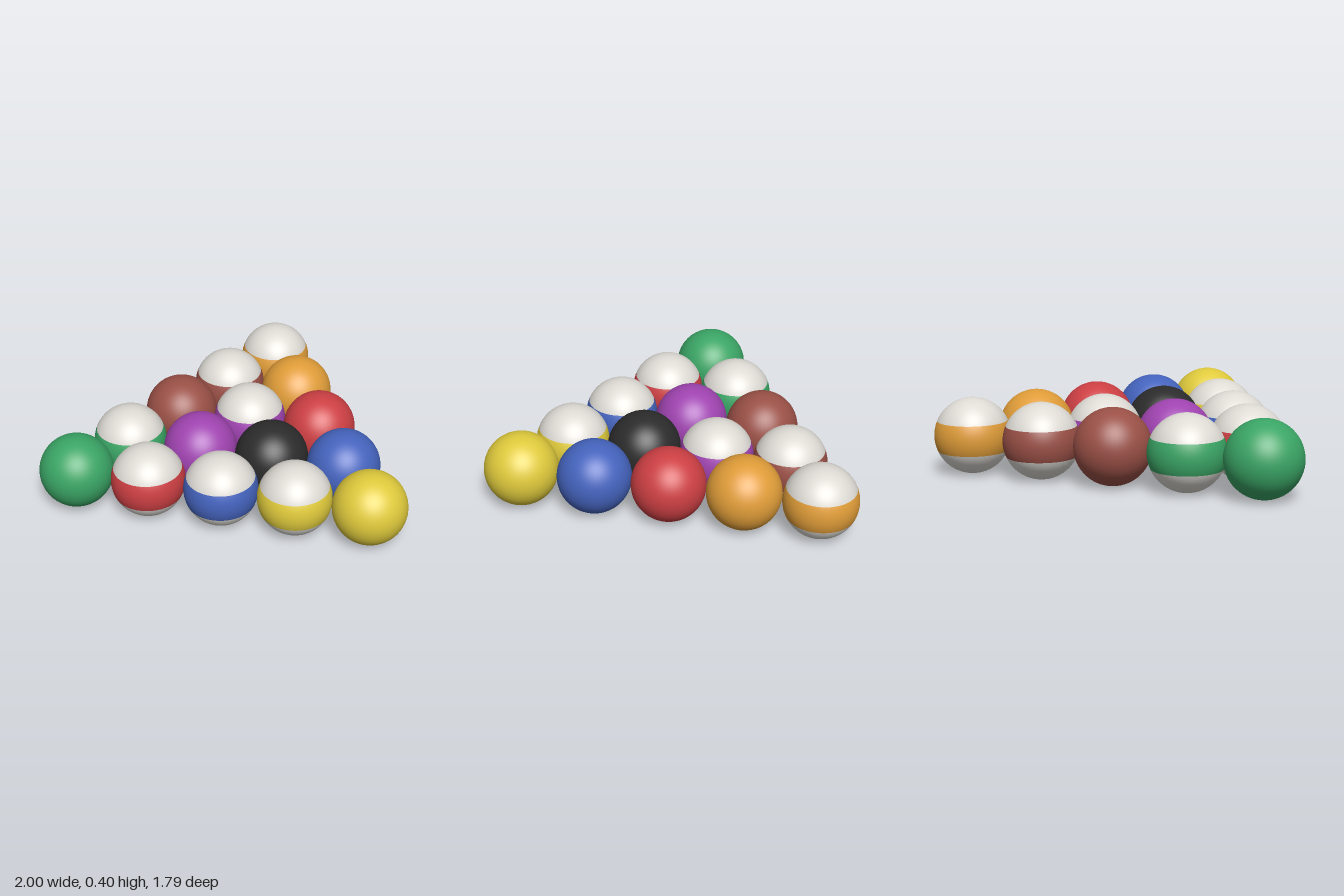
import * as THREE from 'three';

const R = 0.2;
const ROW_STEP = R * Math.sqrt(3);
const CAP_ANGLE = Math.acos(0.395); // polar angle where the stripe begins

const material = (name, color) => new THREE.MeshStandardMaterial({ name, color });
const colours = {
  yellow: material('yellow', 0xdfca3c),
  blue: material('blue', 0x4463bd),
  red: material('red', 0xcc3f43),
  purple: material('purple', 0x9f43b0),
  orange: material('orange', 0xdf9c38),
  green: material('green', 0x3aa565),
  maroon: material('maroon', 0x9a5046),
  black: material('black', 0x2b2b2b),
  white: material('white', 0xdedbd5),
};

// Rack rows from the apex at the front to the back, listed from -x to +x
const rows = [
  ['yellow solid'],
  ['yellow striped', 'blue solid'],
  ['blue striped', 'black solid', 'red solid'],
  ['red striped', 'purple solid', 'purple striped', 'orange solid'],
  ['green solid', 'green striped', 'maroon solid', 'maroon striped', 'orange striped'],
];

// Zone of a sphere between two polar angles
const zone = (from, to, segments) =>
  new THREE.SphereGeometry(R, 48, segments, 0, Math.PI * 2, from, to - from);

export function createModel() {
  const rack = new THREE.Group();
  rack.name = 'ballRack';

  const whole = zone(0, Math.PI, 32);
  const topCap = zone(0, CAP_ANGLE, 12);
  const band = zone(CAP_ANGLE, Math.PI - CAP_ANGLE, 8);
  const bottomCap = zone(Math.PI - CAP_ANGLE, Math.PI, 12);

  rows.forEach((row, r) => row.forEach((entry, i) => {
    const [colour, kind] = entry.split(' ');
    const ball = new THREE.Group();
    ball.name = `${colour} ${kind} ball`;
    ball.position.set((2 * i - r) * R, R, (2 - r) * ROW_STEP);

    const add = (name, geometry, mat) => {
      const mesh = new THREE.Mesh(geometry, mat);
      mesh.name = name;
      ball.add(mesh);
    };
    if (kind === 'solid') {
      add('solidBall', whole, colours[colour]);
    } else {
      add('topCap', topCap, colours.white);
      add('stripe', band, colours[colour]);
      add('bottomCap', bottomCap, colours.white);
    }
    rack.add(ball);
  }));
  return rack;
}
